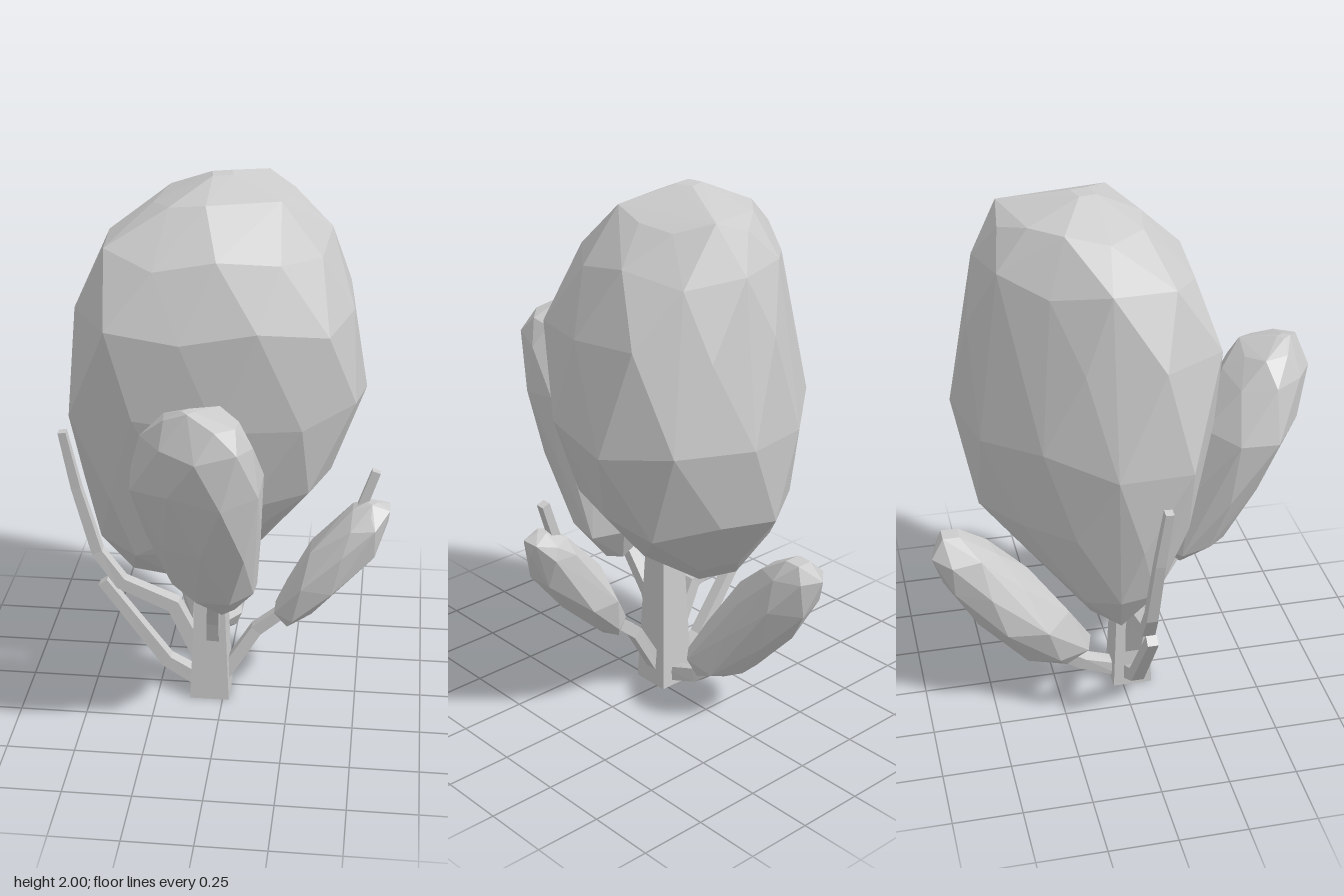
import * as THREE from 'three';
import { ConvexGeometry } from 'three/addons/geometries/ConvexGeometry.js';

const material = new THREE.MeshStandardMaterial({ color: 0xcccccc, flatShading: true, roughness: 0.9 });

function addMesh(group, name, geometry) {
  const mesh = new THREE.Mesh(geometry, material);
  mesh.name = name;
  group.add(mesh);
}

// Plan outlines of the foliage, [x, z] going round
const roundPlan = Array.from({ length: 12 }, (_, i) => {
  const a = (i / 12) * Math.PI * 2;
  return [Math.cos(a), Math.sin(a)];
});
const crownPlan = [
  [-0.56, 0.04], [-0.53, 0.14], [-0.4, 0.28], [-0.07, 0.31], [0.15, 0.295], [0.36, 0.235],
  [0.43, 0.16], [0.48, 0], [0.5, -0.2], [0.47, -0.37], [0.37, -0.49], [0.12, -0.59],
  [-0.09, -0.56], [-0.26, -0.42], [-0.45, -0.25], [-0.54, -0.06],
];
const frontPlan = [
  [-1, -0.1], [-0.78, 0.35], [0.1, 1], [0.7, 0.95], [1, 0.3], [1, -0.3],
  [0.5, -0.9], [-0.3, -1], [-0.8, -0.7],
];

// Faceted clump: each level [y, xMin, xMax, zMin, zMax] carries the plan
// outline fitted to its box; alternate levels are staggered to give triangles.
function clump(plan, sides, levels, wobble) {
  const curve = new THREE.CatmullRomCurve3(plan.map(([x, z]) => new THREE.Vector3(x, 0, z)), true);
  const points = [];
  levels.forEach(([y, x0, x1, z0, z1], i) => {
    const inner = i > 0 && i < levels.length - 1;
    const n = inner ? sides : 4;
    const ring = [];
    for (let k = 0; k < n; k++) ring.push(curve.getPointAt(((k + (i % 2) * 0.5) / n) % 1));
    const box = new THREE.Box3().setFromPoints(ring);
    ring.forEach((p, k) => {
      const u = (p.x - box.min.x) / (box.max.x - box.min.x);
      const v = (p.z - box.min.z) / (box.max.z - box.min.z);
      const dy = inner ? wobble * Math.sin(k * 2.4 + i * 1.7) : 0;
      points.push(new THREE.Vector3(x0 + u * (x1 - x0), y + dy, z0 + v * (z1 - z0)));
    });
  });
  return new ConvexGeometry(points);
}

// Square-section limb along a bent path, tapering from r0 to r1, with end caps
function limb(path, r0, r1) {
  const pts = path.map((p) => new THREE.Vector3(...p));
  const last = pts.length - 1;
  const ref = new THREE.Vector3(0, 0, 1);
  const pos = [];
  const index = [];
  pts.forEach((p, i) => {
    const t = new THREE.Vector3();
    if (i > 0) t.add(p.clone().sub(pts[i - 1]).normalize());
    if (i < last) t.add(pts[i + 1].clone().sub(p).normalize());
    t.normalize();
    const u = ref.clone().cross(t).normalize();
    const v = t.clone().cross(u);
    const r = THREE.MathUtils.lerp(r0, r1, i / last) * Math.SQRT2;
    for (let k = 0; k < 4; k++) {
      const a = Math.PI / 4 + (k * Math.PI) / 2;
      const q = p.clone().addScaledVector(u, r * Math.cos(a)).addScaledVector(v, r * Math.sin(a));
      pos.push(q.x, q.y, q.z);
      if (i < last) {
        const a0 = i * 4 + k, b0 = i * 4 + ((k + 1) % 4);
        index.push(a0, b0, b0 + 4, a0, b0 + 4, a0 + 4);
      }
    }
  });
  const e = last * 4;
  index.push(0, 2, 1, 0, 3, 2, e, e + 1, e + 2, e, e + 2, e + 3);
  const geometry = new THREE.BufferGeometry();
  geometry.setAttribute('position', new THREE.Float32BufferAttribute(pos, 3));
  geometry.setIndex(index);
  geometry.computeVertexNormals();
  return geometry;
}

export function createModel() {
  const group = new THREE.Group();
  group.name = 'bushyTree';

  // Trunk, square and slightly tapered, running up into the crown
  const trunk = new THREE.CylinderGeometry(0.045 * Math.SQRT2, 0.074 * Math.SQRT2, 0.7, 4, 1);
  trunk.rotateY(Math.PI / 4);
  trunk.translate(-0.05, 0.35, 0.037);
  addMesh(group, 'trunk', trunk);

  // Foliage
  addMesh(group, 'crown', clump(crownPlan, 11, [
    [0.46, -0.36, -0.1, -0.15, -0.02],
    [0.62, -0.47, 0.12, -0.31, 0.1],
    [0.88, -0.53, 0.38, -0.52, 0.2],
    [1.2, -0.56, 0.5, -0.585, 0.28],
    [1.54, -0.525, 0.45, -0.53, 0.31],
    [1.77, -0.42, 0.36, -0.49, 0.22],
    [1.92, -0.26, 0.23, -0.41, 0.07],
    [2.0, -0.06, 0.02, -0.16, -0.08],
  ], 0.025));
  addMesh(group, 'frontFoliage', clump(frontPlan, 8, [
    [0.48, -0.03, 0.06, 0.2, 0.29],
    [0.6, -0.17, 0.14, 0.14, 0.43],
    [0.85, -0.245, 0.165, 0.2, 0.57],
    [1.1, -0.285, 0.175, 0.29, 0.68],
    [1.28, -0.23, 0.15, 0.38, 0.705],
    [1.36, -0.15, 0.1, 0.45, 0.67],
    [1.41, -0.08, -0.04, 0.57, 0.62],
  ], 0.015));
  addMesh(group, 'leftFoliage', clump(roundPlan, 6, [
    [0.32, 0.21, 0.27, -0.03, 0.08],
    [0.37, 0.19, 0.33, -0.06, 0.12],
    [0.5, 0.235, 0.46, -0.09, 0.135],
    [0.64, 0.32, 0.555, -0.08, 0.135],
    [0.75, 0.42, 0.6, -0.07, 0.11],
    [0.8, 0.47, 0.605, -0.06, 0.08],
    [0.83, 0.52, 0.56, 0, 0.05],
  ], 0.008));
  addMesh(group, 'backFoliage', clump(roundPlan, 7, [
    [0.14, -0.13, 0.02, -0.29, -0.15],
    [0.2, -0.19, 0.045, -0.4, -0.11],
    [0.38, -0.24, 0.045, -0.55, -0.21],
    [0.55, -0.235, 0.025, -0.665, -0.35],
    [0.68, -0.19, 0.01, -0.705, -0.47],
    [0.75, -0.1, -0.04, -0.66, -0.6],
  ], 0.01));

  // Branches
  addMesh(group, 'frontBranch', limb([
    [-0.04, 0.18, 0.05], [-0.035, 0.35, 0.11], [-0.02, 0.52, 0.22], [-0.03, 0.9, 0.4],
  ], 0.025, 0.018));
  addMesh(group, 'leftBranch', limb([
    [-0.03, 0.03, 0.04], [0.12, 0.27, 0.02], [0.25, 0.38, 0.02], [0.46, 0.68, 0.01], [0.55, 0.945, 0],
  ], 0.025, 0.016));
  addMesh(group, 'backBranch', limb([
    [-0.05, 0.03, 0.02], [-0.05, 0.09, -0.15], [-0.07, 0.17, -0.25], [-0.1, 0.5, -0.5],
  ], 0.028, 0.02));
  addMesh(group, 'rightUpperBranch', limb([
    [-0.07, 0.12, 0.04], [-0.19, 0.37, 0.04], [-0.39, 0.45, 0.03], [-0.48, 0.57, 0.02],
    [-0.55, 0.84, 0.03], [-0.59, 1.07, 0.05],
  ], 0.03, 0.015));
  addMesh(group, 'rightLowerBranch', limb([
    [-0.07, 0.03, 0.03], [-0.22, 0.12, 0.03], [-0.46, 0.45, 0.03],
  ], 0.028, 0.02));

  return group;
}
